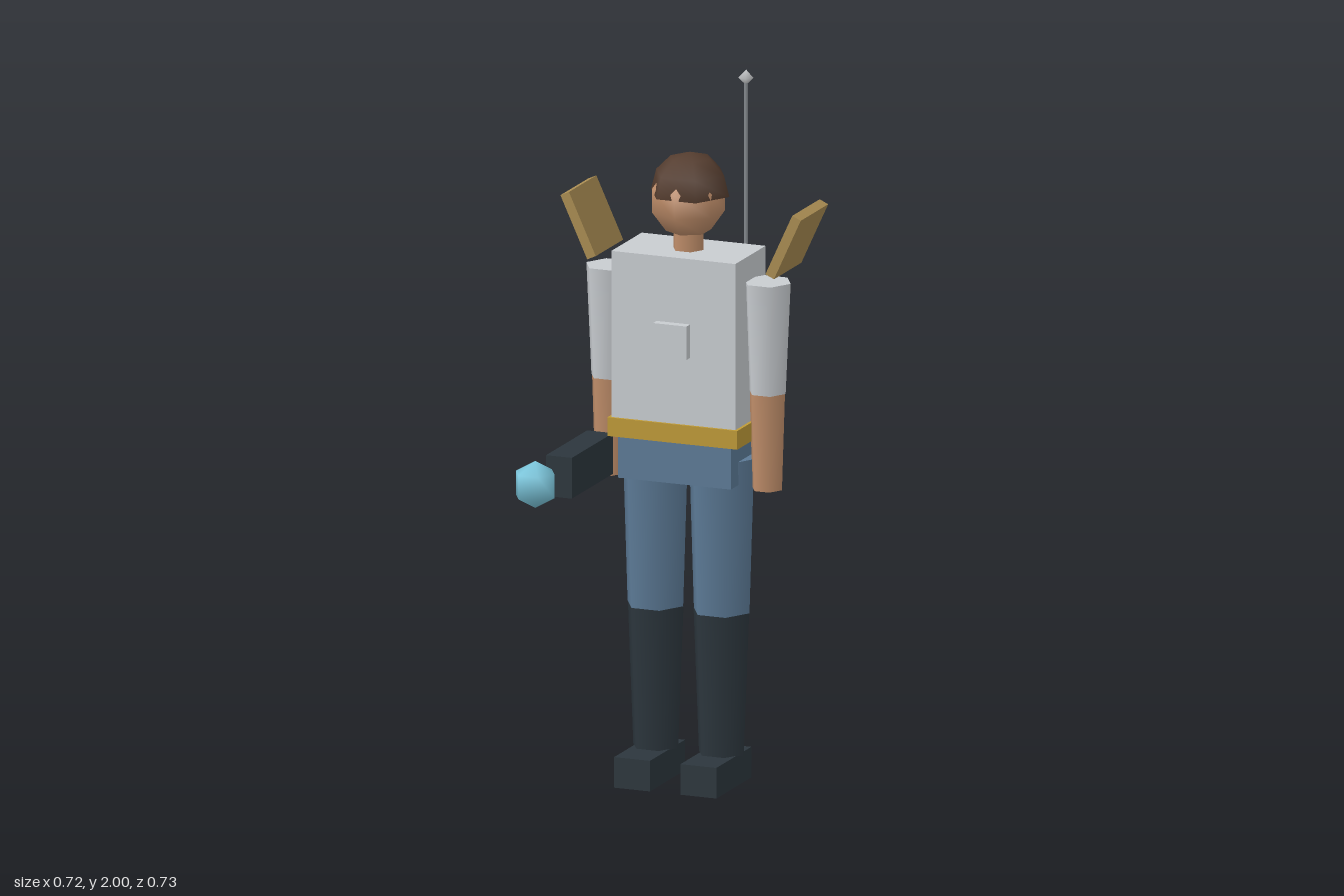
import * as THREE from 'three';

const material = (name, color) => {
  const m = new THREE.MeshStandardMaterial({ color });
  m.name = name;
  return m;
};

export function createModel() {
  const grey = material('light grey cloth', 0xc8ccd0);
  const skin = material('skin', 0xc08e6a);
  const brown = material('brown hair', 0x543c2e);
  const denim = material('blue trousers', 0x5c7a96);
  const dark = material('dark leather', 0x2c363d);
  const gold = material('gold belt', 0xbe9a38);
  const tan = material('tan plate', 0xa98c52);
  const cyan = material('cyan orb', 0x7cc8de);
  const metal = material('antenna metal', 0x868b90);
  const tip = material('antenna tip', 0xc4c6c8);
  brown.side = THREE.DoubleSide;

  const model = new THREE.Group();
  model.name = 'figure';
  const Z = -0.215; // body centre line

  const add = (name, geometry, mat, x, y, z) => {
    const mesh = new THREE.Mesh(geometry, mat);
    mesh.name = name;
    mesh.position.set(x, y, z);
    model.add(mesh);
    return mesh;
  };
  const box = (name, mat, w, h, d, x, y, z) =>
    add(name, new THREE.BoxGeometry(w, h, d), mat, x, y, z);
  // Six-sided tapered limb between two heights, corners pointing sideways
  const limb = (name, mat, rTop, rBottom, yTop, yBottom, x, z = Z) => {
    const g = new THREE.CylinderGeometry(rTop, rBottom, yTop - yBottom, 6);
    g.rotateY(Math.PI / 6);
    return add(name, g, mat, x, (yTop + yBottom) / 2, z);
  };

  // Trunk
  box('torso', grey, 0.37, 0.48, 0.215, 0, 1.27, Z);
  box('chestUnit', grey, 0.1, 0.095, 0.03, 0, 1.277, -0.097);
  box('belt', gold, 0.388, 0.053, 0.233, 0, 1.011, -0.216);
  box('pelvis', denim, 0.336, 0.125, 0.195, 0, 0.927, -0.213);

  // Head, neck and hair cap
  limb('neck', skin, 0.045, 0.045, 1.58, 1.5, 0);
  const head = add('head', new THREE.SphereGeometry(0.107, 6, 5), skin, -0.003, 1.647, -0.222);
  head.rotation.y = Math.PI / 6;
  add('hair', new THREE.SphereGeometry(0.117, 6, 3, 0, Math.PI * 2, 0, Math.PI / 2),
    brown, 0, 1.665, -0.227);

  // Mirrored limbs and shoulder plates
  for (const [side, s] of [['left', 1], ['right', -1]]) {
    limb(side + 'Sleeve', grey, 0.069, 0.054, 1.44, 1.125, s * 0.236);
    limb(side + 'Forearm', skin, 0.053, 0.044, 1.125, 0.85, s * 0.235);
    limb(side + 'Thigh', denim, 0.097, 0.083, 0.93, 0.49, s * 0.099);
    limb(side + 'Boot', dark, 0.083, 0.067, 0.49, 0.085, s * 0.098);
    box(side + 'Foot', dark, 0.107, 0.087, 0.249, s * 0.099, 0.0435, -0.174);
    const plate = box(side + 'ShoulderPlate', tan, 0.028, 0.192, 0.195, s * 0.306, 1.557, -0.256);
    plate.rotation.z = -s * 0.43;
  }

  // Hand device and floating orb
  box('handDevice', dark, 0.077, 0.116, 0.292, -0.235, 0.923, 0);
  add('orb', new THREE.SphereGeometry(0.067, 6, 3), cyan, -0.236, 0.942, 0.312);

  // Back antenna
  add('antennaRod', new THREE.CylinderGeometry(0.006, 0.006, 0.51, 5), metal, 0.118, 1.725, -0.343);
  const ball = add('antennaTip', new THREE.SphereGeometry(0.022, 5, 2), tip, 0.118, 1.978, -0.343);
  ball.rotation.y = Math.PI;

  return model;
}
